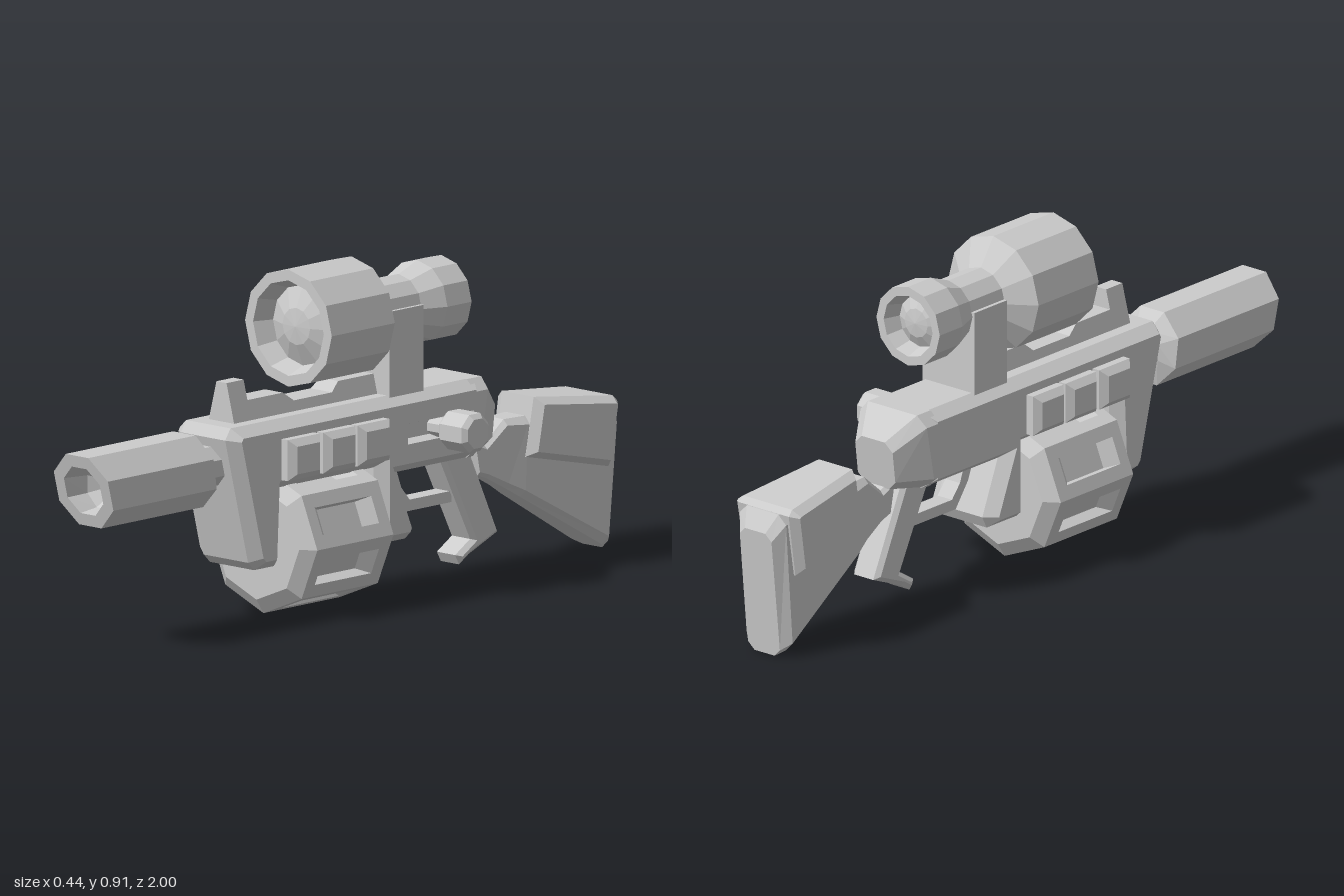
import * as THREE from 'three';

const CX = -0.025; // centre plane of the weapon
const material = new THREE.MeshStandardMaterial({ color: 0xcccccc, flatShading: true });
const V = (x, y, z) => new THREE.Vector3(x, y, z);

// Quads joining two rings with the same number of points
function strip(tris, a, b) {
  a.forEach((p, i) => {
    const j = (i + 1) % a.length;
    tris.push([p, a[j], b[j]], [p, b[j], b[i]]);
  });
}

// Flat end over a ring, optionally with a hole
function cap(tris, ring, flip = false, hole = []) {
  const size = new THREE.Box3().setFromPoints(ring).getSize(V());
  const min = Math.min(size.x, size.y, size.z);
  const [u, v] = min === size.x ? ['y', 'z'] : min === size.y ? ['z', 'x'] : ['x', 'y'];
  const flat = (pts) => pts.map((p) => new THREE.Vector2(p[u], p[v]));
  const all = [...ring, ...hole];
  const sign = THREE.ShapeUtils.area(flat(ring)) * (flip ? -1 : 1);
  for (const f of THREE.ShapeUtils.triangulateShape(flat(ring), hole.length ? [flat(hole)] : [])) {
    const t = f.map((i) => all[i]);
    if (THREE.ShapeUtils.area(flat(t)) * sign < 0) t.reverse();
    tris.push(t);
  }
}

// Mesh from triangles, turned so that the closed volume is positive
function toMesh(name, tris) {
  const solid = tris.filter(([a, b, c]) => b.clone().sub(a).cross(c.clone().sub(a)).length() > 1e-9);
  const volume = solid.reduce((s, [a, b, c]) => s + a.dot(b.clone().cross(c)), 0);
  if (volume < 0) solid.forEach((t) => t.reverse());
  const geometry = new THREE.BufferGeometry().setFromPoints(solid.flat());
  geometry.computeVertexNormals();
  const mesh = new THREE.Mesh(geometry, material);
  mesh.name = name;
  mesh.position.x = CX;
  return mesh;
}

// Closed solid through a row of rings; recess = [opening, floor] sunk in the last end
function loft(name, rings, recess) {
  const tris = [];
  for (let i = 1; i < rings.length; i++) strip(tris, rings[i - 1], rings[i]);
  cap(tris, rings[0], true);
  cap(tris, rings[rings.length - 1], false, recess ? recess[0] : []);
  if (recess) {
    strip(tris, recess[0], recess[1]);
    cap(tris, recess[1]);
  }
  return toMesh(name, tris);
}

// Moves a [z, y] outline inwards by d
function inset(pts, d) {
  const n = pts.length;
  const P = pts.map(([z, y]) => new THREE.Vector2(z, y));
  const s = Math.sign(THREE.ShapeUtils.area(P));
  return P.map((p, i) => {
    const e1 = p.clone().sub(P[(i + n - 1) % n]).normalize();
    const e2 = P[(i + 1) % n].clone().sub(p).normalize();
    const k = (s * d) / (1 + e1.dot(e2));
    return [p.x - (e1.y + e2.y) * k, p.y + (e1.x + e2.x) * k];
  });
}

// Side outline [z, y] given a width, with chamfered edges on both sides
function slab(name, outline, width, bevel = 0, bevelX = bevel, recess) {
  const w = typeof width === 'function' ? width : () => width;
  const ring = (pts, side, less) => pts.map(([z, y]) => V(side * (w(z, y) - less), y, z));
  const small = bevel ? inset(outline, bevel) : outline;
  const rings = bevel
    ? [ring(small, -1, 0), ring(outline, -1, bevelX), ring(outline, 1, bevelX), ring(small, 1, 0)]
    : [ring(outline, -1, 0), ring(outline, 1, 0)];
  return loft(name, rings, recess);
}

const rect = (z0, z1, y0, y1) => [[z0, y0], [z1, y0], [z1, y1], [z0, y1]];

// Regular ring around the z axis, leaning by shear
function ngon(n, r, z, cy, turn = 0, shear = 0) {
  return Array.from({ length: n }, (_, i) => {
    const a = ((i + turn) / n) * Math.PI * 2;
    const y = r * Math.sin(a);
    return V(r * Math.cos(a), cy + y, z + shear * y);
  });
}

// Chamfered rectangular cross-section, running from z0 at its bottom to z1 at its top
function section(z0, z1, w, y0, y1, c) {
  const outline = [[-w + c, y0], [w - c, y0], [w, y0 + c], [w, y1 - c],
    [w - c, y1], [-w + c, y1], [-w, y1 - c], [-w, y0 + c]];
  return outline.map(([x, y]) => V(x, y, z0 + ((z1 - z0) * (y - y0)) / (y1 - y0)));
}

// Octagonal drum with a sunken slot in each facet
function drumMagazine() {
  const tris = [], cy = 0.203, back = 0, front = 0.29;
  const a = ngon(8, 0.195, back, cy), b = ngon(8, 0.195, front, cy);
  const a0 = ngon(8, 0.155, back - 0.027, cy), b0 = ngon(8, 0.155, front + 0.027, cy);
  strip(tris, a0, a);
  strip(tris, b, b0);
  cap(tris, a0, true);
  cap(tris, b0);
  a.forEach((p, i) => {
    const q = a[(i + 1) % 8];
    const mid = p.clone().add(q).multiplyScalar(0.5);
    const inward = V(-mid.x, cy - mid.y, 0).normalize();
    const frame = (t, z0, z1, depth) =>
      [[t, z0], [1 - t, z0], [1 - t, z1], [t, z1]].map(([k, z]) => {
        const c = p.clone().lerp(q, k).addScaledVector(inward, depth);
        return c.setZ(z);
      });
    const rings = [frame(0, back, front, 0), frame(0.25, 0.04, 0.255, 0), frame(0.27, 0.075, 0.22, 0.03)];
    strip(tris, rings[0], rings[1]);
    strip(tris, rings[1], rings[2]);
    cap(tris, rings[2]);
  });
  return toMesh('drumMagazine', tris);
}

export function createModel() {
  const group = new THREE.Group();
  group.name = 'scopedRifle';

  // Receiver with both magazine walls and the bolt slot on its left
  const slot = (z0, z1, y0, y1, x) => rect(z0, z1, y0, y1).map(([z, y]) => V(x, y, z));
  const receiver = [[0.5, 0.545], [0.52, 0.515], [0.433, 0.175], [0.41, 0.152], [0.335, 0.152],
    [0.325, 0.36], [-0.045, 0.36], [-0.045, 0.152], [-0.165, 0.152], [-0.182, 0.185],
    [-0.12, 0.335], [-0.425, 0.335], [-0.425, 0.545]].reverse();
  group.add(slab('receiver', receiver, 0.115, 0.025, 0.035,
    [slot(-0.39, -0.14, 0.412, 0.467, 0.115), slot(-0.36, -0.17, 0.42, 0.458, 0.085)]));
  group.add(loft('receiverRear', [
    section(-0.395, -0.395, 0.115, 0.335, 0.545, 0.03),
    section(-0.41, -0.45, 0.115, 0.335, 0.545, 0.03),
    section(-0.51, -0.527, 0.065, 0.345, 0.48, 0.025),
  ]));

  // Barrel and slanted octagonal muzzle with its bore
  const oct = (r, z, shear = 0) => ngon(8, r, z, 0.436, 0.5, shear);
  group.add(loft('barrelAndMuzzle', [
    oct(0.058, 0.45), oct(0.058, 0.55), oct(0.106, 0.577, 0.15), oct(0.106, 0.975, 0.26),
    oct(0.07, 0.975, 0.26), oct(0.062, 0.9), oct(0.001, 0.83),
  ]));

  // Sight rail with the front sight, narrowing upwards
  const rail = [[0.45, 0.54], [0.45, 0.65], [0.385, 0.65], [0.385, 0.597], [0.25, 0.597], [0.215, 0.572],
    [0.07, 0.572], [0.04, 0.597], [-0.1, 0.597], [-0.1, 0.54]];
  group.add(slab('sightRail', rail, (z, y) => 0.047 - 0.26 * (y - 0.54)));

  // Scope and its mount
  const scope = [[0.001, -0.36], [0.04, -0.355], [0.07, -0.34], [0.085, -0.387], [0.11, -0.387],
    [0.11, -0.295], [0.083, -0.225], [0.083, -0.095], [0.157, -0.045], [0.157, 0.195],
    [0.128, 0.195], [0.108, 0.14], [0.05, 0.165], [0.001, 0.17]];
  group.add(loft('scope', scope.map(([r, z]) => ngon(12, r, z, 0.757))));
  group.add(slab('scopeMount', rect(-0.225, -0.095, 0.54, 0.77), 0.09));

  // Drum and the row of side blocks above it
  group.add(drumMagazine());
  for (const z of [-0.045, 0.085, 0.22]) {
    group.add(slab('sideBlock', rect(z, z + 0.122, 0.388, 0.498), 0.155, 0.018));
  }

  // Bolt handle on the left
  const boltRings = [[0.028, 0.08], [0.028, 0.14], [0.042, 0.14], [0.055, 0.155], [0.055, 0.232], [0.042, 0.245]];
  group.add(loft('boltHandle', boltRings.map(([r, x]) =>
    ngon(8, r, 0, 0, 0.5).map((p) => V(x, 0.44 + p.y, -0.27 + p.x)))));

  // Pistol grip and trigger guard
  const grip = [[-0.335, 0.35], [-0.45, 0.35], [-0.565, 0.105], [-0.455, 0.06], [-0.42, 0.038],
    [-0.405, 0.065], [-0.462, 0.1]];
  group.add(slab('grip', grip, 0.045, 0.012));
  const guard = [[-0.145, 0.35], [-0.175, 0.275], [-0.225, 0.207], [-0.4, 0.207], [-0.4, 0.237],
    [-0.24, 0.237], [-0.208, 0.275], [-0.18, 0.35]];
  group.add(slab('triggerGuard', guard, 0.025));

  // Shoulder stock and cheek rest
  group.add(loft('stock', [
    section(-0.5, -0.48, 0.035, 0.262, 0.36, 0.012),
    section(-0.535, -0.525, 0.035, 0.25, 0.342, 0.012),
    section(-0.6, -0.595, 0.042, 0.215, 0.4, 0.015),
    section(-0.65, -0.66, 0.055, 0.185, 0.4, 0.02),
    section(-0.94, -0.97, 0.08, 0.018, 0.405, 0.025),
    section(-0.962, -1, 0.055, 0.004, 0.355, 0.02),
  ]));
  const cheek = [[-0.65, 0.295], [-0.678, 0.452], [-0.95, 0.42], [-0.965, 0.405], [-0.935, 0.232]];
  group.add(slab('cheekRest', cheek, (z) => 0.08 + 0.1 * (-0.65 - z), 0.018, 0.025));

  return group;
}
